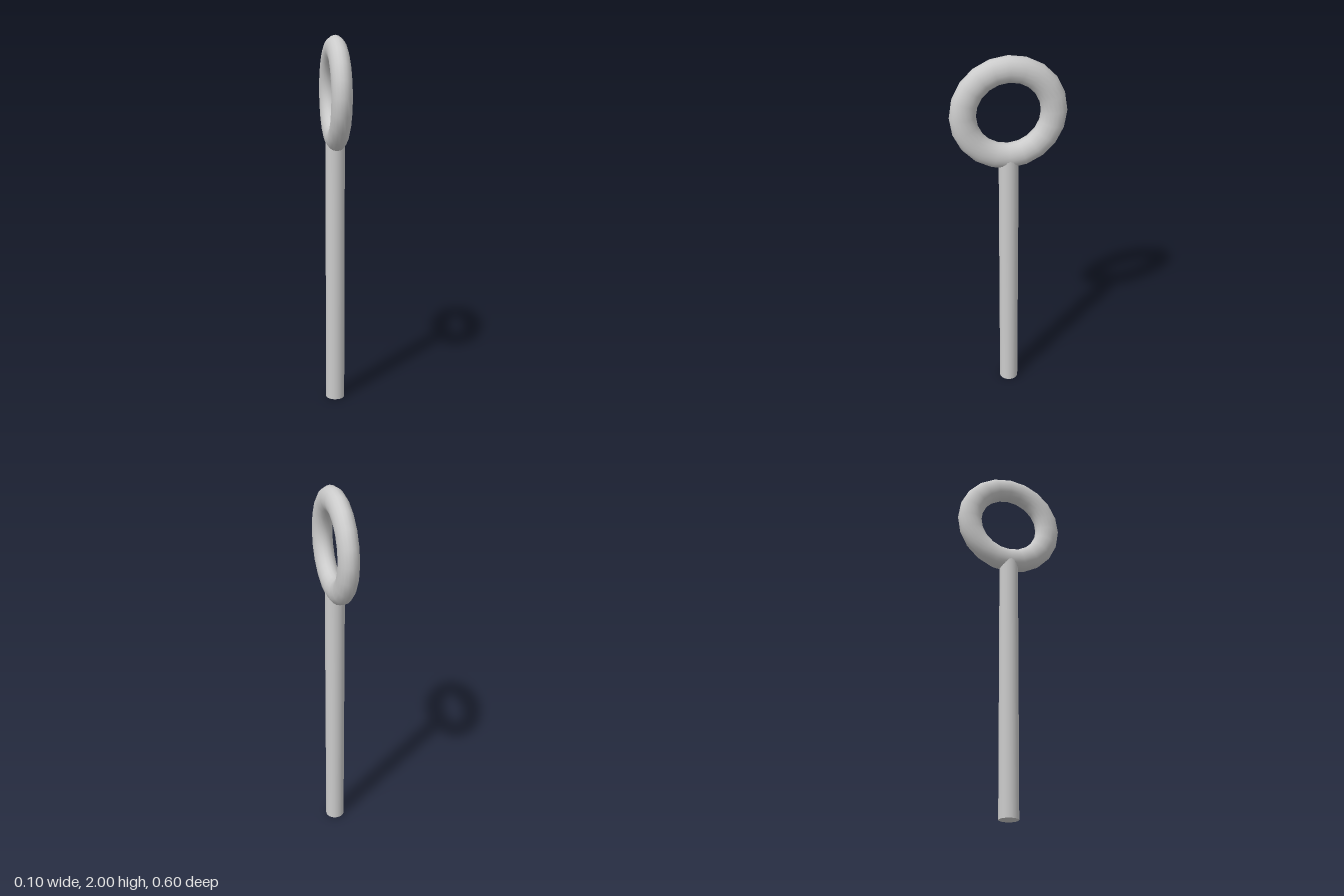
import * as THREE from 'three';

export function createModel() {
  const group = new THREE.Group();
  const material = new THREE.MeshStandardMaterial({ color: 0xcccccc });
  const add = (name, geometry, y) => {
    const mesh = new THREE.Mesh(geometry, material);
    mesh.name = name;
    mesh.position.y = y;
    group.add(mesh);
  };

  // Round rod, its top buried in the ring
  const rodHeight = 1.46;
  add('rod', new THREE.CylinderGeometry(0.052, 0.052, rodHeight, 20), rodHeight / 2);

  // Upright ring, slightly flattened and turned to face sideways
  const ring = new THREE.TorusGeometry(0.233, 0.068, 18, 20);
  ring.scale(1, 1, 0.78).rotateY(Math.PI / 2);
  add('ring', ring, 1.7);

  return group;
}
